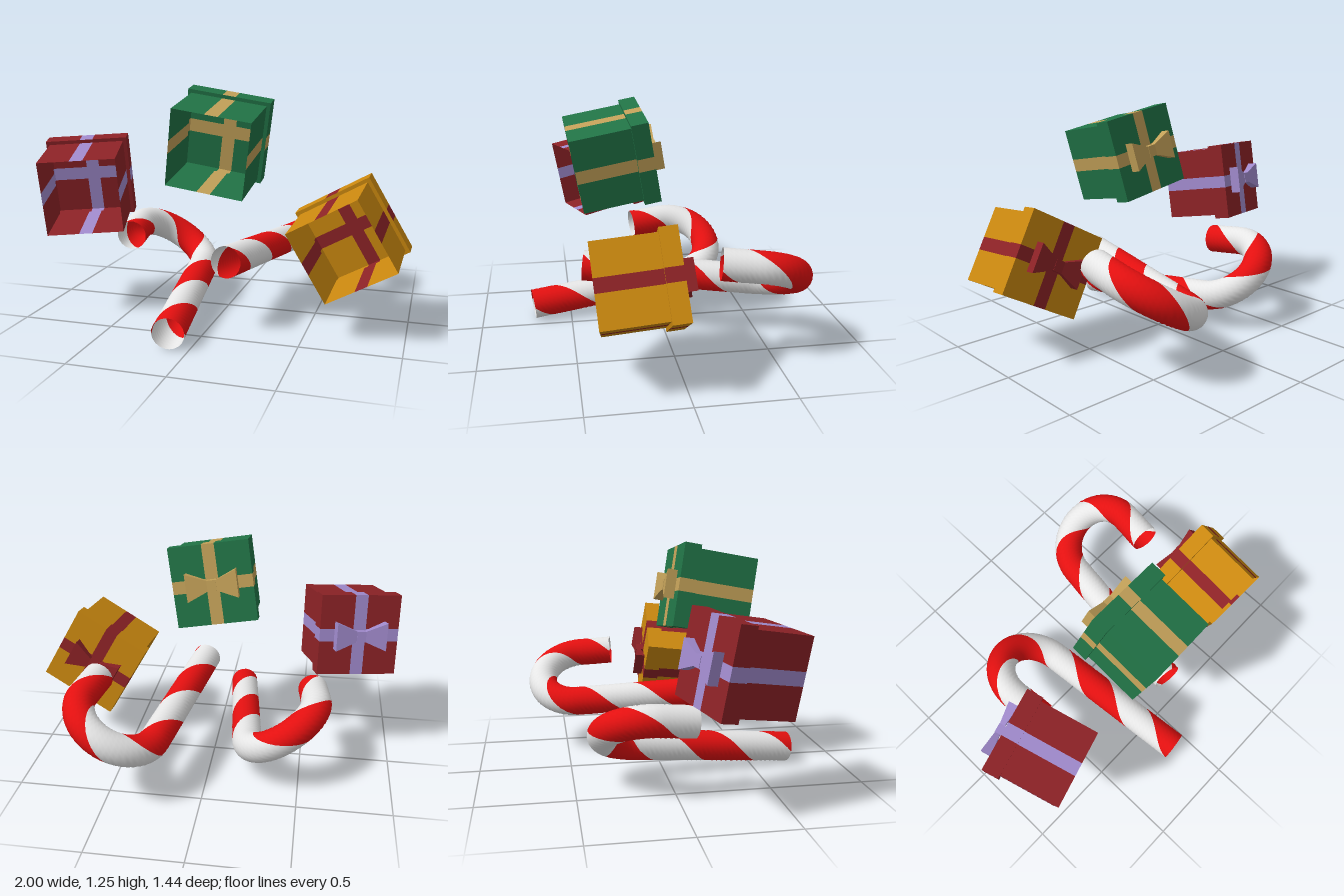
import * as THREE from 'three';
import { mergeGeometries } from 'three/addons/utils/BufferGeometryUtils.js';

const mat = (name, color) => new THREE.MeshStandardMaterial({ name, color, side: THREE.DoubleSide });
const V = (a) => new THREE.Vector3(...a);

// gift box proportions (local frame: lid at -z, open end at +z)
const BODY = 0.405, LID = 0.443, RIBBON = 0.07;
const BACK = -0.205, RIM = -0.115, FRONT = 0.205;

function mesh(name, parts, material) {
  const m = new THREE.Mesh(mergeGeometries(parts), material);
  m.name = name;
  return m;
}

// four thin walls around z, each split into paper, ribbon, paper
function walls(size, z0, z1, paper, ribbon) {
  const side = (size - RIBBON) / 2, off = (size + RIBBON) / 4;
  for (let k = 0; k < 4; k++) {
    for (const [w, x, list] of [[side, -off, paper], [RIBBON, 0, ribbon], [side, off, paper]]) {
      list.push(new THREE.PlaneGeometry(w, z1 - z0).rotateX(-Math.PI / 2)
        .translate(x, size / 2, (z0 + z1) / 2).rotateZ(k * Math.PI / 2));
    }
  }
}

// end face of the lid with a ribbon cross
function lidFace(paper, ribbon) {
  const side = (LID - RIBBON) / 2, off = (LID + RIBBON) / 4;
  const add = (list, w, h, x, y) =>
    list.push(new THREE.PlaneGeometry(w, h).rotateY(Math.PI).translate(x, y, BACK));
  for (const sx of [-1, 1]) {
    for (const sy of [-1, 1]) add(paper, side, side, sx * off, sy * off);
    add(ribbon, side, RIBBON, sx * off, 0);
  }
  add(ribbon, RIBBON, LID, 0, 0);
}

// lip between the lid and the narrower body
function lidLip() {
  const square = (shape, h) =>
    shape.moveTo(-h, -h).lineTo(h, -h).lineTo(h, h).lineTo(-h, h).closePath();
  const s = square(new THREE.Shape(), LID / 2);
  s.holes.push(square(new THREE.Path(), BODY / 2));
  return new THREE.ShapeGeometry(s).translate(0, 0, RIM);
}

// bow: two flaring wings and a knot
function bowParts() {
  const parts = [new THREE.BoxGeometry(0.05, 0.06, 0.045).translate(0, 0, BACK - 0.0225)];
  for (const s of [-1, 1]) {
    const g = new THREE.BoxGeometry(0.12, 0.155, 0.055);
    const p = g.attributes.position;
    for (let i = 0; i < p.count; i++) {
      if (p.getX(i) * s < 0) p.setXYZ(i, p.getX(i), p.getY(i) * 0.35, p.getZ(i) * 0.5);
    }
    g.translate(s * 0.08, 0, BACK - 0.0285);
    g.computeVertexNormals();
    parts.push(g);
  }
  return parts;
}

function giftBox(name, paperMat, ribbonMat, centre, right, up) {
  const g = new THREE.Group();
  g.name = name;
  const bodyPaper = [], bodyRibbon = [], lidPaper = [], lidRibbon = [];
  walls(BODY, RIM, FRONT, bodyPaper, bodyRibbon);
  walls(LID, BACK, RIM, lidPaper, lidRibbon);
  lidFace(lidPaper, lidRibbon);
  g.add(
    mesh('boxBody', bodyPaper, paperMat), mesh('bodyRibbon', bodyRibbon, ribbonMat),
    mesh('lid', lidPaper, paperMat), mesh('lidRibbon', lidRibbon, ribbonMat),
    mesh('lidLip', [lidLip()], paperMat), mesh('bow', bowParts(), ribbonMat));
  const u = V(right).normalize();
  const w = u.clone().cross(V(up)).normalize();
  const v = w.clone().cross(u);
  g.quaternion.setFromRotationMatrix(new THREE.Matrix4().makeBasis(u, v, w));
  g.position.set(...centre);
  return g;
}

// hollow hooked cane: straight, half circle, short tail
const STRAIGHT = 0.89, HOOK = 0.222, TAIL = 0.187, TUBE = 0.083;
const PITCH = 0.59, PHASE = 0.155, ROLL = 0.56;

function cane(name, redMat, whiteMat, start, along, toward) {
  const d = V(along).normalize();
  const e = V(toward);
  e.addScaledVector(d, -e.dot(d)).normalize();
  const n = d.clone().cross(e);
  const arc = Math.PI * HOOK, total = STRAIGHT + arc + TAIL;
  const base = V(start).addScaledVector(d, STRAIGHT).addScaledVector(e, HOOK);

  // each stripe is half the tube, twisted along the path
  const stripe = (label, f0, material) => {
    const g = new THREE.PlaneGeometry(1, 1, 10, 72);
    const { position, normal, uv } = g.attributes;
    for (let i = 0; i < position.count; i++) {
      const s = uv.getY(i) * total;
      const f = f0 + (1 - uv.getX(i)) * 0.5;
      const phi = THREE.MathUtils.clamp((s - STRAIGHT) / HOOK, 0, Math.PI);
      const outward = e.clone().multiplyScalar(-Math.cos(phi)).addScaledVector(d, Math.sin(phi));
      const p = base.clone().addScaledVector(outward, HOOK);
      p.addScaledVector(d, Math.min(s - STRAIGHT, 0) - Math.max(s - STRAIGHT - arc, 0));
      const a = 2 * Math.PI * ((s - PHASE) / PITCH - f) - ROLL;
      const r = n.clone().multiplyScalar(Math.cos(a)).addScaledVector(outward, Math.sin(a));
      p.addScaledVector(r, TUBE);
      position.setXYZ(i, p.x, p.y, p.z);
      normal.setXYZ(i, r.x, r.y, r.z);
    }
    return mesh(label, [g], material);
  };
  const group = new THREE.Group();
  group.name = name;
  group.add(stripe('whiteStripe', 0, whiteMat), stripe('redStripe', 0.5, redMat));
  return group;
}

export function createModel() {
  const green = mat('greenPaper', 0x217346), gold = mat('goldRibbon', 0xc2a058);
  const maroon = mat('maroon', 0x8c2226), lavender = mat('lavenderRibbon', 0xa08acc);
  const amber = mat('amberPaper', 0xc9870f);
  const red = mat('candyRed', 0xe41010), white = mat('candyWhite', 0xe8e8e8);

  const model = new THREE.Group();
  model.name = 'giftsAndCanes';
  model.add(
    giftBox('greenGift', green, gold, [0.023, 0.968, 0.267], [0.983, -0.157, -0.035], [0.157, 0.975, 0.18]),
    giftBox('maroonGift', maroon, lavender, [-0.724, 0.715, 0.275], [0.96, 0.06, -0.273], [-0.01, 0.983, 0.18]),
    giftBox('amberGift', amber, maroon, [0.692, 0.491, 0.211], [0.867, 0.49, 0.086], [-0.5, 0.86, 0.067]),
    cane('lowerCane', red, white, [-0.1, 0.088, 0.713], [-0.12, 0.105, -1], [-0.83, 0.535, 0.16]),
    cane('upperCane', red, white, [0.11, 0.387, 0.435], [0.165, -0.085, -1], [0.87, 0.48, 0.1]));
  return model;
}
